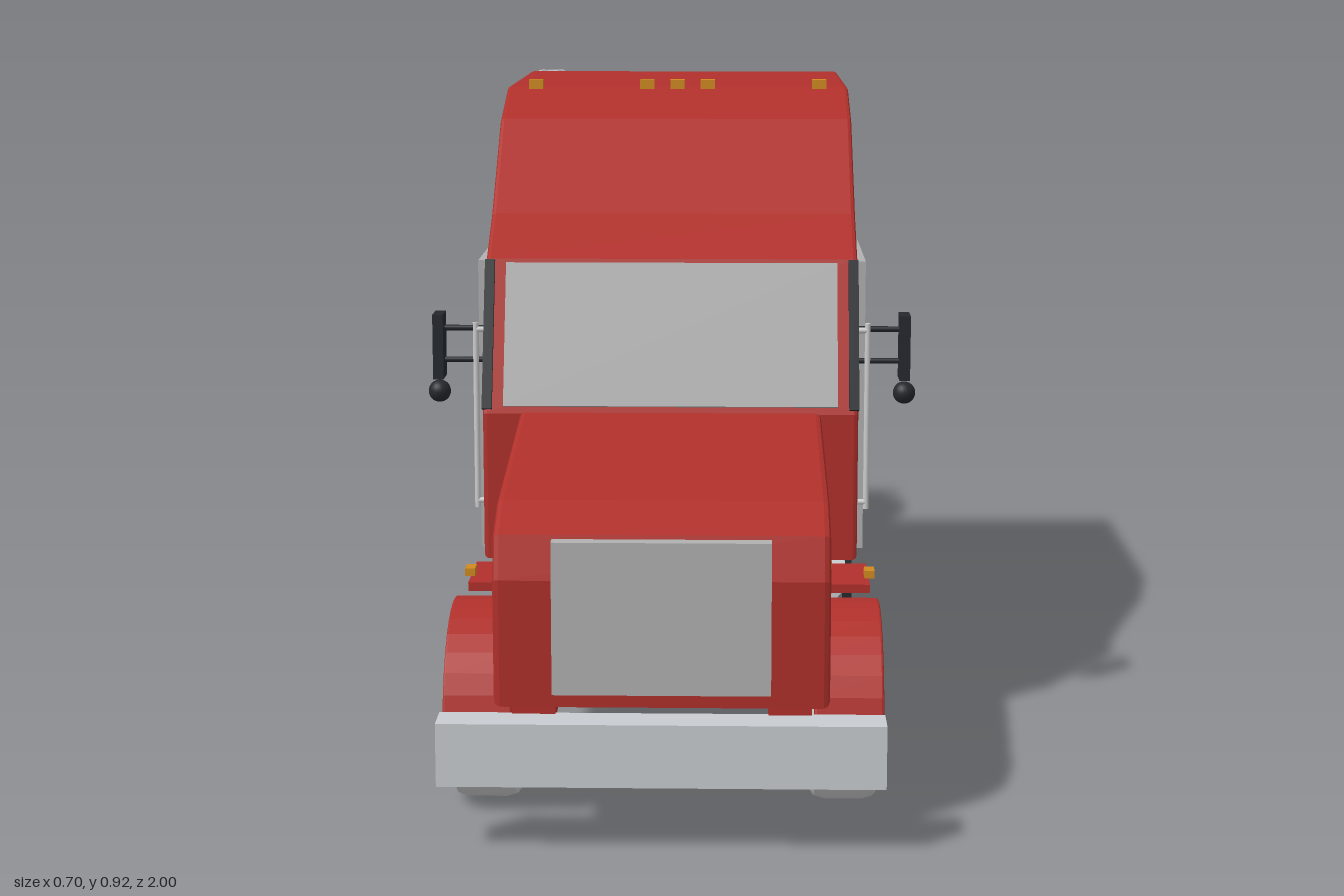
import * as THREE from 'three';
import { toCreasedNormals } from 'three/addons/utils/BufferGeometryUtils.js';

const mat = (color) => new THREE.MeshStandardMaterial({ color });

export function createModel() {
  const truck = new THREE.Group();
  truck.name = 'truck';
  const red = mat(0xb0302b), grey = mat(0xcccccc), dark = mat(0x24282d), metal = mat(0xc8ccd0);
  const amber = mat(0xd08a20), lampRed = mat(0xb02a20), blue = mat(0x24549a), steel = mat(0xb0b0b0);

  const add = (name, geo, material, x = 0, y = 0, z = 0) => {
    const m = new THREE.Mesh(geo, material);
    m.name = name;
    m.position.set(x, y, z);
    truck.add(m);
    return m;
  };
  // Box given by its limits on each axis
  const box = (name, material, x0, x1, y0, y1, z0, z1) =>
    add(name, new THREE.BoxGeometry(Math.abs(x1 - x0), y1 - y0, z1 - z0), material,
      (x0 + x1) / 2, (y0 + y1) / 2, (z0 + z1) / 2);
  // Side profile of [z, y] points, extruded across the width
  const slab = (name, material, pts, width, x = 0, bevel = 0) => {
    const shape = new THREE.Shape(pts.map((p) => new THREE.Vector2(p[0], p[1])));
    const geo = new THREE.ExtrudeGeometry(shape, {
      depth: width - 2 * bevel, bevelEnabled: bevel > 0, bevelSize: bevel,
      bevelThickness: bevel, bevelOffset: -bevel, bevelSegments: 2, curveSegments: 20,
    });
    geo.translate(0, 0, -(width - 2 * bevel) / 2).rotateY(-Math.PI / 2);
    return add(name, geo, material, x);
  };
  const tube = (name, material, pts, r) => add(name, new THREE.TubeGeometry(
    new THREE.CatmullRomCurve3(pts.map((p) => new THREE.Vector3(...p))), 24, r, 8), material);
  const rod = (name, material, r, len, axis, x, y, z) => {
    const geo = new THREE.CylinderGeometry(r, r, len, 32);
    if (axis === 'x') geo.rotateZ(Math.PI / 2);
    if (axis === 'z') geo.rotateX(Math.PI / 2);
    return add(name, geo, material, x, y, z);
  };

  // Cab with sleeper, and hood
  slab('cab', red, [[-0.35, 0.28], [0.2, 0.28], [0.2, 0.27], [0.54, 0.27], [0.54, 0.48], [0.46, 0.69],
    [0.37, 0.745], [0.215, 0.872], [0.09, 0.913], [-0.35, 0.913]], 0.53, 0, 0.006);
  slab('hood', red, [[0.53, 0.25], [0.86, 0.25], [0.89, 0.185], [0.968, 0.185], [0.972, 0.35],
    [0.955, 0.405], [0.89, 0.435], [0.535, 0.482]], 0.425, 0, 0.008);
  box('grille', steel, -0.138, 0.138, 0.203, 0.4, 0.955, 0.976);
  box('bumper', metal, -0.283, 0.283, 0.09, 0.172, 0.95, 1.0);

  // Windshield and its pillars lie on the sloping front face
  const slope = Math.atan2(0.08, 0.21);
  const onSlope = (name, material, x, w, h, t) => {
    const m = add(name, new THREE.BoxGeometry(w, h, t), material, x, 0.587, 0.501);
    m.rotation.x = -slope;
  };
  onSlope('windshield', steel, 0, 0.472, 0.208, 0.008);

  // Roof marker lamps
  for (const x of [-0.22, -0.047, 0, 0.047, 0.22])
    box('roofLamp', amber, x - 0.011, x + 0.011, 0.908, 0.924, 0.08, 0.1);

  // Wheel profile, outer face towards +y before it is turned sideways
  const wheelGeo = (h, dual) => {
    const tread = dual ? [[0.119, -0.008], [0.11, 0], [0.119, 0.008]] : [];
    const pts = [[0, -h + 0.02], [0.066, -h + 0.02], [0.073, -h], [0.104, -h], [0.115, -h + 0.008],
      [0.119, -h + 0.022], ...tread, [0.119, h - 0.022], [0.115, h - 0.008], [0.104, h], [0.073, h],
      [0.066, h - 0.018], [0.034, h - 0.022], [0.03, h - 0.008], [0, h - 0.008]];
    const geo = new THREE.LatheGeometry(pts.map((p) => new THREE.Vector2(...p)), 40);
    return toCreasedNormals(geo.rotateZ(-Math.PI / 2), 0.5);
  };
  const frontWheel = wheelGeo(0.047, false), rearWheel = wheelGeo(0.068, true);

  // Fender arch outline in side view
  const arch = [];
  const steps = 14;
  for (let i = 0; i <= 2 * steps + 1; i++) {
    const outer = i <= steps;
    const a = 0.2 + (Math.PI - 0.4) * (outer ? i : 2 * steps + 1 - i) / steps;
    const r = outer ? 0.149 : 0.131;
    arch.push([0.76 + r * Math.cos(a), 0.12 + r * Math.sin(a)]);
  }

  for (const s of [1, -1]) {
    // Wheels
    const wheel = (name, geo, x, z) => {
      add(name, geo, grey, s * x, 0.12, z).rotation.y = s > 0 ? 0 : Math.PI;
    };
    wheel('frontWheel', frontWheel, 0.237, 0.76);
    wheel('rearWheel', rearWheel, 0.232, -0.555);
    wheel('rearWheel', rearWheel, 0.232, -0.863);

    // Front fender with its lip, running step and marker
    slab('frontFender', red, arch, 0.09, s * 0.24, 0.003);
    box('fenderFlare', red, s * 0.2, s * 0.283, 0.145, 0.157, 0.606, 0.618);
    box('cowlStep', red, s * 0.2, s * 0.28, 0.243, 0.255, 0.5, 0.62);
    box('sideMarker', amber, s * 0.274, s * 0.288, 0.255, 0.266, 0.56, 0.585);
    box('cowlMarker', amber, s * 0.215, s * 0.228, 0.268, 0.278, 0.57, 0.585);
    box('bumperBracket', red, s * 0.135, s * 0.19, 0.165, 0.195, 0.9, 0.955);

    // Door, sleeper panels, handles
    box('door', steel, s * 0.26, s * 0.277, 0.267, 0.687, 0.203, 0.457);
    box('sleeperPanel', steel, s * 0.26, s * 0.273, 0.492, 0.71, -0.338, 0.194);
    box('sleeperWindow', steel, s * 0.26, s * 0.269, 0.742, 0.812, -0.265, -0.155);
    rod('grabHandle', grey, 0.004, 0.27, 'y', s * 0.28, 0.465, 0.475);
    rod('sleeperHandle', dark, 0.004, 0.27, 'y', s * 0.279, 0.465, 0.188);
    for (const y of [0.34, 0.59]) {
      rod('handleMount', grey, 0.004, 0.02, 'x', s * 0.27, y, 0.475);
      rod('handleMount', dark, 0.004, 0.02, 'x', s * 0.27, y, 0.188);
    }
    onSlope('windshieldPillar', dark, s * 0.259, 0.014, 0.216, 0.012);

    // Mirror on two arms with a round spot mirror
    box('mirror', dark, s * 0.325, s * 0.34, 0.52, 0.613, 0.45, 0.492);
    for (const y of [0.545, 0.591]) rod('mirrorArm', dark, 0.004, 0.07, 'x', s * 0.3, y, 0.467);
    add('spotMirror', new THREE.SphereGeometry(0.016, 20, 14), dark, s * 0.333, 0.5, 0.472);

    // Fuel tank with straps
    rod('fuelTank', metal, 0.076, 0.57, 'z', s * 0.195, 0.187, -0.043);
    for (const z of [-0.295, 0.21]) rod('tankStrap', dark, 0.078, 0.012, 'z', s * 0.195, 0.187, z);

    // Step box: open channel with a dark cover
    box('stepCover', dark, s * 0.256, s * 0.264, 0.112, 0.228, 0.278, 0.418);
    box('stepTop', metal, s * 0.165, s * 0.256, 0.212, 0.224, 0.282, 0.414);
    box('stepBottom', metal, s * 0.165, s * 0.256, 0.116, 0.128, 0.282, 0.414);
    box('stepBack', metal, s * 0.165, s * 0.175, 0.116, 0.224, 0.282, 0.414);

    // Frame rail, mud flap and tail lamp
    slab('frameRail', dark, [[-0.985, 0.2], [0.6, 0.2], [0.67, 0.235], [0.9, 0.235], [0.9, 0.258],
      [-0.985, 0.258]], 0.02, s * 0.1);
    box('mudFlap', dark, s * 0.17, s * 0.302, 0.035, 0.205, -0.992, -0.986);
    box('flapHanger', dark, s * 0.1, s * 0.302, 0.203, 0.218, -0.996, -0.982);
    box('tailLamp', lampRed, s * 0.125, s * 0.168, 0.215, 0.235, -1.0, -0.98);
  }

  // Cross members, axles and coupling
  box('rearCrossMember', dark, -0.15, 0.15, 0.2, 0.256, -0.99, -0.975);
  for (const z of [-0.38, 0.1, 0.45]) box('crossMember', dark, -0.1, 0.1, 0.215, 0.245, z - 0.015, z + 0.015);
  for (const z of [-0.56, -0.865]) {
    box('axle', dark, -0.17, 0.17, 0.098, 0.145, z - 0.024, z + 0.024);
    box('axleBeam', dark, -0.15, 0.15, 0.2, 0.235, z - 0.024, z + 0.024);
  }
  box('couplingBase', dark, -0.105, 0.105, 0.245, 0.265, -0.73, -0.585);
  box('couplingPlate', dark, -0.085, 0.085, 0.264, 0.279, -0.71, -0.62);
  for (const s of [1, -1]) box('couplingJaw', dark, s * 0.035, s * 0.085, 0.268, 0.284, -0.785, -0.7);
  rod('releaseRod', amber, 0.004, 0.13, 'x', 0.155, 0.262, -0.656);
  add('releaseKnob', new THREE.SphereGeometry(0.008, 12, 8), amber, 0.22, 0.262, -0.656);
  box('deckPlate', grey, -0.105, 0.1, 0.272, 0.284, -0.495, -0.365);

  // Exhaust stack and its guard
  const stack = [[0, 0.32], [0.023, 0.32], [0.023, 0.913], [0.018, 0.913], [0.018, 0.8], [0, 0.8]];
  add('exhaustStack', toCreasedNormals(new THREE.LatheGeometry(
    stack.map((p) => new THREE.Vector2(...p)), 28), 0.6), metal, -0.23, 0, -0.383);
  box('exhaustGuard', dark, -0.255, -0.205, 0.37, 0.65, -0.362, -0.348);

  // Air and power hoses behind the cab
  [[0.0, lampRed, -0.03], [0.05, blue, 0.07], [0.1, lampRed, 0.13]].forEach(([x, tip, end], i) => {
    const y = 0.37 + i * 0.015;
    tube('hose', dark, [[x, 0.45, -0.352], [x + 0.012, 0.38, -0.375], [x - 0.012, 0.32, -0.41],
      [(x + end) / 2 + 0.01, 0.325, -0.435], [end, y, -0.468]], 0.004);
    add('hoseCoupler', new THREE.SphereGeometry(0.01, 12, 8), tip, end, y + 0.005, -0.47);
  });

  return truck;
}
